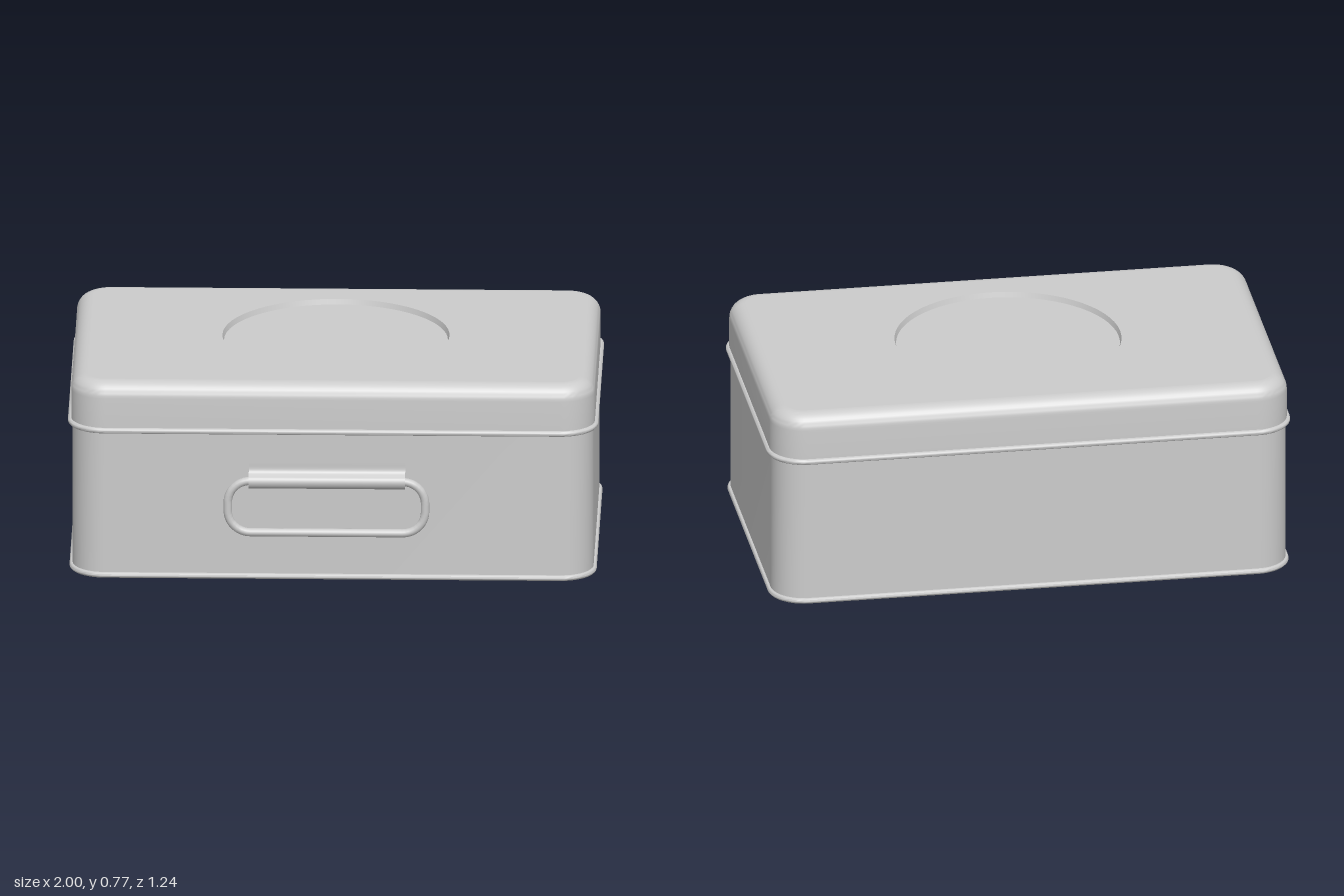
import * as THREE from 'three';
import { toCreasedNormals } from 'three/addons/utils/BufferGeometryUtils.js';

const CZ = -0.009; // the box sits slightly back to leave room for the handle
const HX = 0.982, HZ = 0.594, CORNER = 0.125;
const grey = new THREE.MeshStandardMaterial({ color: 0xcccccc });
const greyDouble = new THREE.MeshStandardMaterial({ color: 0xcccccc, side: THREE.DoubleSide });

// Rounded rectangle in plan, grown outwards by d
function outline(d, steps = 12) {
  const pts = [], r = CORNER + d;
  const signs = [[1, 1], [-1, 1], [-1, -1], [1, -1]];
  signs.forEach(([sx, sz], q) => {
    for (let i = 0; i <= steps; i++) {
      const a = (q + i / steps) * Math.PI / 2;
      pts.push(new THREE.Vector2(sx * (HX - CORNER) + r * Math.cos(a), sz * (HZ - CORNER) + r * Math.sin(a)));
    }
  });
  return pts;
}

// Wall through a list of [offset, height] rings, running upwards on the outside
function loft(rings) {
  const pos = [], idx = [], n = outline(0).length;
  for (const [d, y] of rings) for (const p of outline(d)) pos.push(p.x, y, p.y);
  for (let k = 0; k < rings.length - 1; k++) {
    for (let i = 0; i < n; i++) {
      const a = k * n + i, b = k * n + (i + 1) % n;
      idx.push(a, a + n, b, b, a + n, b + n);
    }
  }
  const g = new THREE.BufferGeometry();
  g.setAttribute('position', new THREE.Float32BufferAttribute(pos, 3));
  g.setIndex(idx);
  return toCreasedNormals(g, Math.PI / 4);
}

// Rolled bead running round the box
function bead(d, y, r) {
  const rings = [];
  for (let i = 0; i <= 12; i++) {
    const a = -Math.PI / 2 + i / 12 * Math.PI * 2;
    rings.push([d + r * Math.cos(a), y + r * Math.sin(a)]);
  }
  return loft(rings);
}

// Closed handle outline: a rounded rectangle traced as a path
function handlePath(cx, cy, z, hw, hh, r) {
  const path = new THREE.CurvePath(), pts = [];
  [[1, 1], [-1, 1], [-1, -1], [1, -1]].forEach(([sx, sy], q) => {
    for (let i = 0; i <= 10; i++) {
      const a = (q + i / 10) * Math.PI / 2;
      pts.push(new THREE.Vector3(cx + sx * (hw - r) + r * Math.cos(a), cy + sy * (hh - r) + r * Math.sin(a), z));
    }
  });
  pts.forEach((p, i) => path.add(new THREE.LineCurve3(p, pts[(i + 1) % pts.length])));
  return path;
}

export function createModel() {
  const model = new THREE.Group();
  const add = (name, geometry, parent, material = grey) => {
    const mesh = new THREE.Mesh(geometry, material);
    mesh.name = name;
    parent.add(mesh);
    return mesh;
  };

  // Body
  const box = new THREE.Group();
  box.name = 'box';
  box.position.z = CZ;
  model.add(box);
  add('bodyWall', loft([[0, 0.003], [0, 0.59]]), box);
  add('bottomRim', bead(0.001, 0.011, 0.011), box);
  const floor = new THREE.ShapeGeometry(new THREE.Shape(outline(0.002)));
  add('bottomPanel', floor.rotateX(Math.PI / 2), box).position.y = 0.002;

  // Lid with a rounded upper edge
  const lid = new THREE.Group();
  lid.name = 'lid';
  box.add(lid);
  const R = 0.06, TOP = 0.772, side = 0.005;
  const rings = [[side, 0.58]];
  for (let i = 0; i <= 10; i++) {
    const a = i / 10 * Math.PI / 2;
    rings.push([side - R + R * Math.cos(a), TOP - R + R * Math.sin(a)]);
  }
  add('lidWall', loft(rings), lid);
  add('lidRim', bead(0.007, 0.586, 0.011), lid);

  // Top panel with a round recess
  const DENT = 0.428, DEPTH = 0.02;
  const top = new THREE.Shape(outline(side - R));
  top.holes.push(new THREE.Path().absarc(0, 0, DENT, 0, Math.PI * 2, true));
  add('lidTop', new THREE.ShapeGeometry(top, 32).rotateX(-Math.PI / 2), lid).position.y = TOP;
  const wall = new THREE.CylinderGeometry(DENT, DENT - 0.006, DEPTH, 64, 1, true);
  add('recessWall', wall, lid, greyDouble).position.y = TOP - DEPTH / 2;
  const disc = new THREE.CircleGeometry(DENT - 0.006, 64).rotateX(-Math.PI / 2);
  add('recessFloor', disc, lid).position.y = TOP - DEPTH;

  // Wire handle on the front
  const handle = new THREE.Group();
  handle.name = 'handle';
  model.add(handle);
  const path = handlePath(-0.022, 0.292, 0.602, 0.372, 0.102, 0.085);
  add('handleRing', new THREE.TubeGeometry(path, 220, 0.016, 12, true), handle);

  // Sheet bracket: flat against the wall, then curled over the top bar of the ring
  const profile = new THREE.CatmullRomCurve3([
    [0.487, 0.588], [0.46, 0.588], [0.437, 0.588], [0.425, 0.593], [0.416, 0.606], [0.408, 0.618],
    [0.394, 0.623], [0.379, 0.619], [0.368, 0.61], [0.364, 0.6], [0.367, 0.588],
  ].map(([y, z]) => new THREE.Vector3(0, y, z)));
  const rows = 32, sheet = new THREE.PlaneGeometry(0.59, 1, 1, rows);
  const p = sheet.attributes.position;
  for (let i = 0; i < p.count; i++) {
    const q = profile.getPoint(Math.floor(i / 2) / rows);
    p.setXYZ(i, p.getX(i) - 0.02, q.y, q.z);
  }
  sheet.computeVertexNormals();
  add('handleBracket', sheet, handle, greyDouble);

  return model;
}
